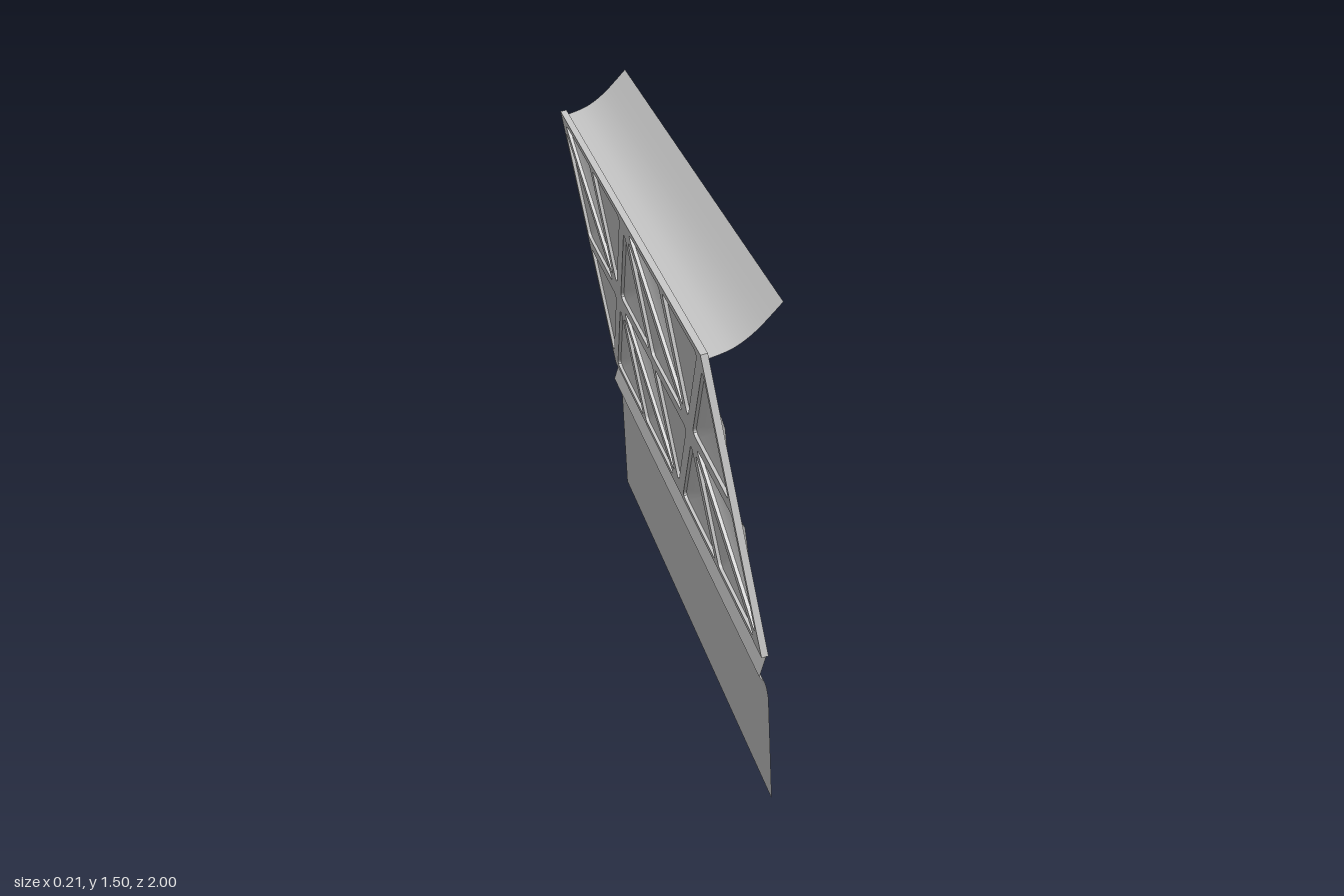
import * as THREE from 'three';

const grey = new THREE.MeshStandardMaterial({ color: 0xcccccc });
const greyThin = new THREE.MeshStandardMaterial({ color: 0xcccccc, side: THREE.DoubleSide });

const WIDTH = 2, HEIGHT = 0.93, THICK = 0.02; // leaning panel
const INSET = 0.023, RADIUS = 0.018;          // half rib width, opening corner radius
const BULGE = 0.041;                          // apex height of each infill

function named(geometry, material, name) {
  const mesh = new THREE.Mesh(geometry, material);
  mesh.name = name;
  return mesh;
}

// Outline of a triangle shrunk by INSET, with rounded corners, counter-clockwise
function roundedTriangle(corners) {
  if (THREE.ShapeUtils.area(corners) < 0) corners = [...corners].reverse();
  const [a, b, c] = corners;
  const la = b.distanceTo(c), lb = c.distanceTo(a), lc = a.distanceTo(b), sum = la + lb + lc;
  const incenter = new THREE.Vector2()
    .addScaledVector(a, la / sum).addScaledVector(b, lb / sum).addScaledVector(c, lc / sum);
  const inradius = 2 * THREE.ShapeUtils.area(corners) / sum;
  const small = corners.map(p => p.clone().sub(incenter).multiplyScalar(1 - INSET / inradius).add(incenter));
  const points = [];
  small.forEach((p, i) => {
    const toPrev = small[(i + 2) % 3].clone().sub(p).normalize();
    const toNext = small[(i + 1) % 3].clone().sub(p).normalize();
    const cut = RADIUS / Math.tan(Math.acos(toPrev.dot(toNext)) / 2);
    const curve = new THREE.QuadraticBezierCurve(
      p.clone().addScaledVector(toPrev, cut), p, p.clone().addScaledVector(toNext, cut));
    points.push(...curve.getPoints(6));
  });
  return points;
}

// Shallow pyramid from the opening's outline to an apex over the triangle's centre
function infillGeometry(outline, corners) {
  const centre = corners.reduce((s, p) => s.add(p), new THREE.Vector2()).divideScalar(3);
  const positions = [centre.x, centre.y, BULGE], index = [];
  outline.forEach((p, i) => {
    positions.push(p.x, p.y, 0);
    index.push(0, 1 + i, 1 + (i + 1) % outline.length);
  });
  const g = new THREE.BufferGeometry();
  g.setAttribute('position', new THREE.Float32BufferAttribute(positions, 3));
  g.setIndex(index);
  g.computeVertexNormals();
  return g;
}

// Thin sheet: an x-y profile swept along the full width in z
function sheetGeometry(points) {
  const g = new THREE.PlaneGeometry(1, WIDTH, points.length - 1, 1);
  const pos = g.attributes.position;
  for (let i = 0; i < pos.count; i++) {
    const [x, y] = points[i % points.length];
    pos.setXYZ(i, x, y, i < points.length ? 1 : -1);
  }
  g.computeVertexNormals();
  return g;
}

function smoothProfile(points, divisions) {
  const curve = new THREE.SplineCurve(points.map(p => new THREE.Vector2(...p)));
  return curve.getPoints(divisions).map(p => [p.x, p.y]);
}

export function createModel() {
  const model = new THREE.Group();
  model.name = 'trussPanel';

  // Panel group: local x runs along the width, y up the slope, z out of the face
  const panel = new THREE.Group();
  panel.name = 'leaningPanel';
  panel.rotation.set(0, Math.PI / 2, 0.1915, 'ZYX');
  panel.position.set(-0.0115, 0.918, 0);
  model.add(panel);

  const w = WIDTH / 2, h = HEIGHT / 2;
  const plate = new THREE.Shape([[-w, -h], [w, -h], [w, h], [-w, h]].map(p => new THREE.Vector2(...p)));

  // Two hubs, eight triangles radiating from each
  for (const hubX of [-0.5, 0.5]) {
    for (const sx of [-1, 1]) for (const sy of [-1, 1]) {
      const hub = new THREE.Vector2(hubX, 0);
      const far = new THREE.Vector2(hubX + sx * 0.5, sy * h);
      const sides = [new THREE.Vector2(hubX, sy * h), new THREE.Vector2(far.x, 0)];
      for (const side of sides) {
        const corners = [hub, far, side];
        const outline = roundedTriangle(corners);
        plate.holes.push(new THREE.Path(outline));
        panel.add(named(infillGeometry(outline, corners), greyThin, 'triangleInfill'));
      }
    }
  }

  // Ribbed frame
  const frame = new THREE.ExtrudeGeometry(plate, { depth: THICK, bevelEnabled: false });
  frame.translate(0, 0, -THICK / 2);
  panel.add(named(frame, grey, 'ribFrame'));

  // Curved sheet flaring from the top edge
  const flare = smoothProfile([[-0.09, 1.36], [-0.025, 1.383], [0.035, 1.426], [0.105, 1.5]], 12);
  model.add(named(sheetGeometry(flare), greyThin, 'topFlare'));

  // Lip under the panel, then the skirt that hangs to the ground
  model.add(named(sheetGeometry([[0.08, 0.462], [0.062, 0.4]]), greyThin, 'lowerLip'));
  const bend = smoothProfile([[0.062, 0.4], [0.08, 0.375], [0.089, 0.33]], 8);
  model.add(named(sheetGeometry([...bend, [0.105, 0]]), greyThin, 'skirt'));

  return model;
}
